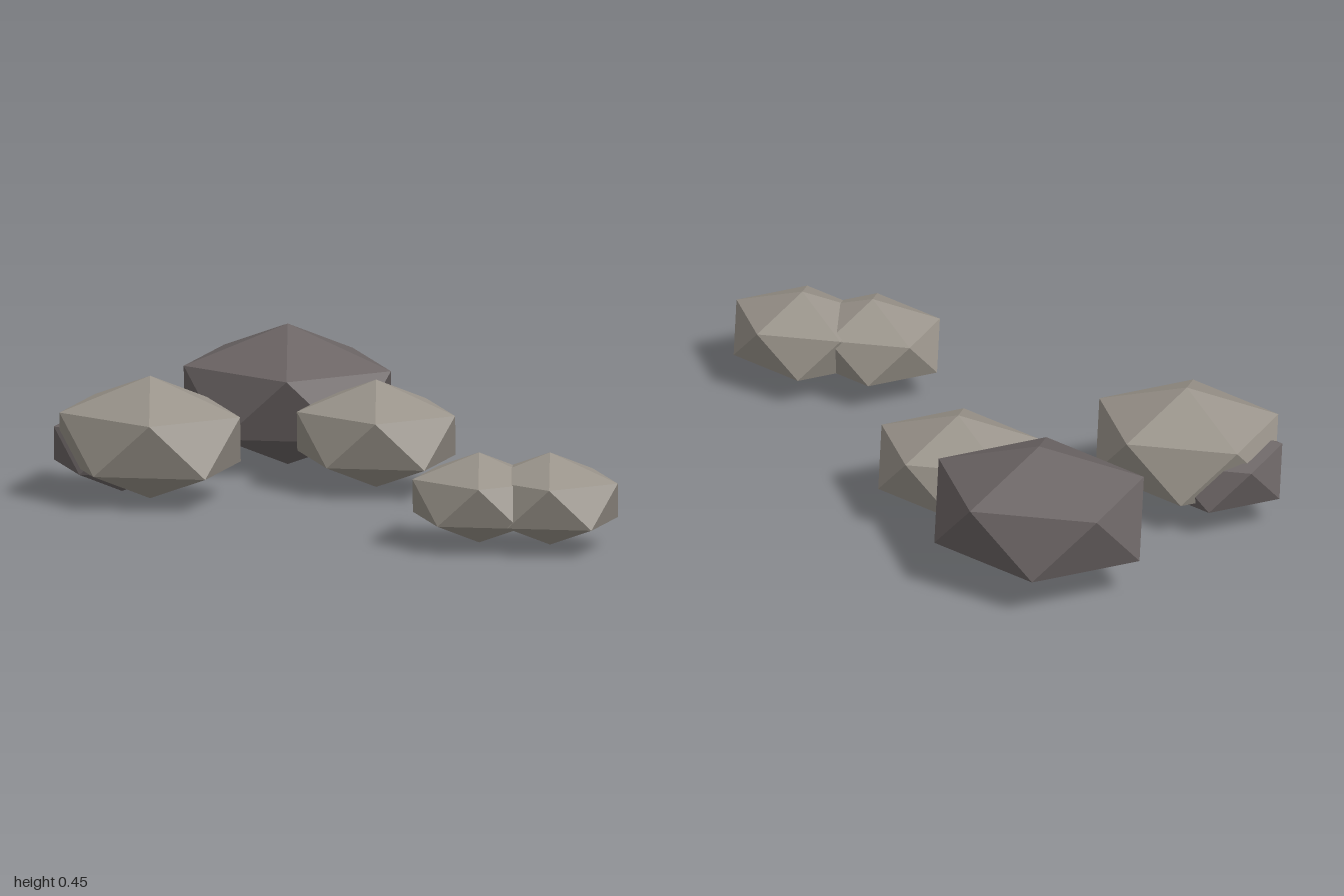
import * as THREE from 'three';

export function createModel() {
  const group = new THREE.Group();
  group.name = 'rockCluster';

  const lightStone = new THREE.MeshStandardMaterial({ color: 0x99938a });
  lightStone.name = 'light stone';
  const darkStone = new THREE.MeshStandardMaterial({ color: 0x6b6464 });
  darkStone.name = 'dark stone';

  // Icosahedron turned so one corner points straight up, then flattened
  const tilt = -Math.atan(2 / (1 + Math.sqrt(5)));
  function addRock(name, material, radius, x, y, z) {
    const geometry = new THREE.IcosahedronGeometry(1, 0);
    geometry.rotateZ(tilt);
    geometry.scale(radius, radius * 0.577, radius * 0.828);
    const rock = new THREE.Mesh(geometry, material);
    rock.name = name;
    rock.position.set(x, y, z);
    group.add(rock);
  }

  // Large rocks
  addRock('largeDarkRock', darkStone, 0.39, -0.46, 0.23, -0.403);
  addRock('largeLightRock', lightStone, 0.34, -0.663, 0.205, 0.24);
  addRock('middleRock', lightStone, 0.298, -0.063, 0.185, -0.162);

  // Small rocks
  addRock('smallDarkRock', darkStone, 0.256, -0.77, 0.165, 0.21);
  addRock('smallInnerRock', lightStone, 0.25, 0.553, 0.164, 0.498);
  addRock('smallOuterRock', lightStone, 0.256, 0.768, 0.166, 0.438);

  return group;
}
